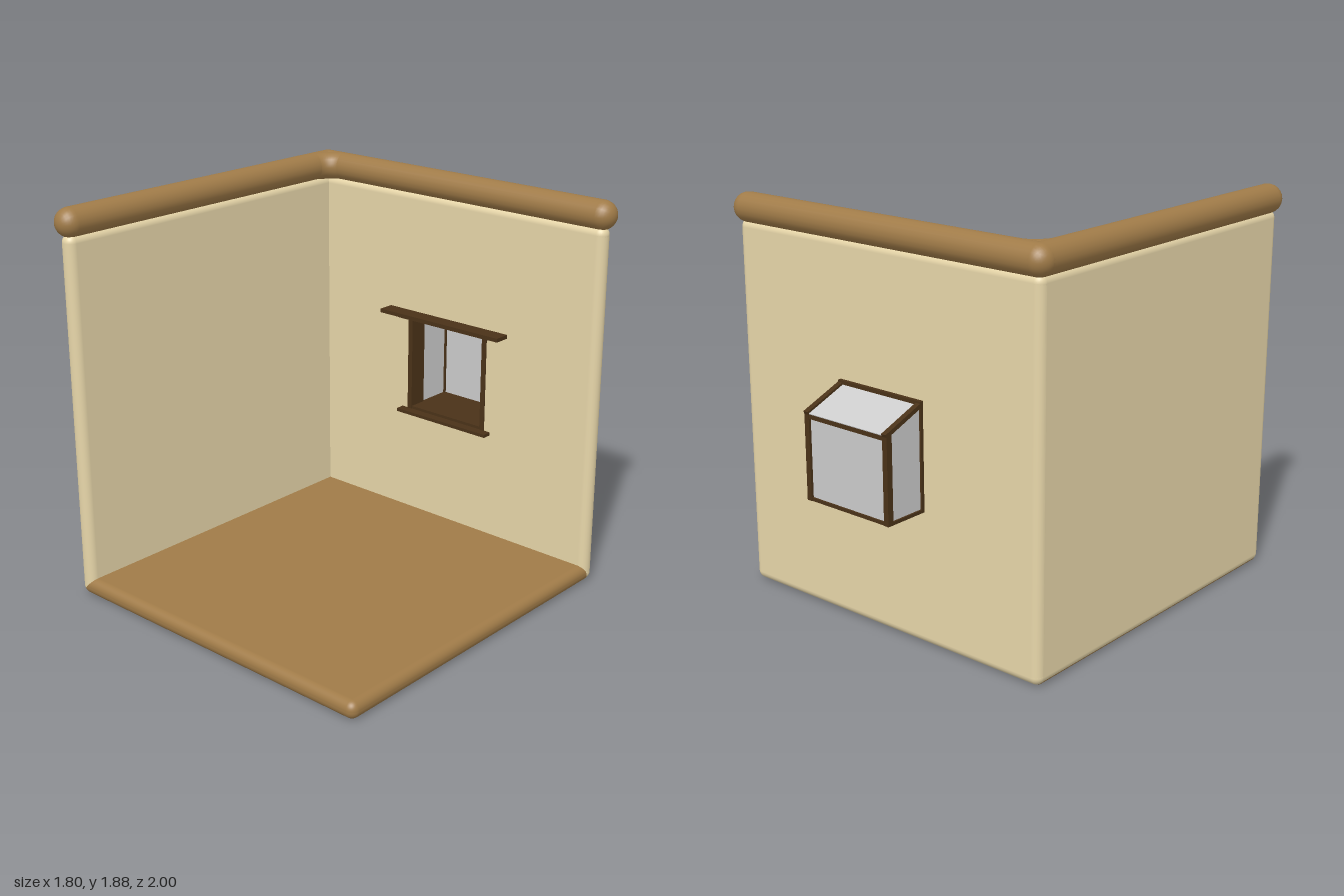
import * as THREE from 'three';
import { RoundedBoxGeometry } from 'three/addons/geometries/RoundedBoxGeometry.js';

const paint = (color) => new THREE.MeshStandardMaterial({ color });
const plaster = paint(0xe7d6a9);
const wood = paint(0xa07b48);
const darkWood = paint(0x4a3218);
const glass = paint(0xcccccc);

function add(parent, name, geometry, material, x = 0, y = 0, z = 0) {
  const mesh = new THREE.Mesh(geometry, material);
  mesh.name = name;
  mesh.position.set(x, y, z);
  parent.add(mesh);
  return mesh;
}

// Box given by its low and high corners
function box(parent, name, material, [x0, y0, z0], [x1, y1, z1]) {
  return add(parent, name, new THREE.BoxGeometry(x1 - x0, y1 - y0, z1 - z0), material,
    (x0 + x1) / 2, (y0 + y1) / 2, (z0 + z1) / 2);
}

// Round-ended rod between two points
function rod(parent, name, material, a, b, radius) {
  const from = new THREE.Vector3(...a), to = new THREE.Vector3(...b);
  const span = to.clone().sub(from);
  const mesh = add(parent, name, new THREE.CapsuleGeometry(radius, span.length(), 8, 20), material);
  mesh.position.copy(from).add(to).multiplyScalar(0.5);
  mesh.quaternion.setFromUnitVectors(new THREE.Vector3(0, 1, 0), span.normalize());
  return mesh;
}

// Rectangular outline as a path
function rect(path, x0, y0, x1, y1) {
  path.moveTo(x0, y0);
  path.lineTo(x1, y0);
  path.lineTo(x1, y1);
  path.lineTo(x0, y1);
  path.closePath();
  return path;
}

function createBackWall() {
  const wall = new THREE.Group();
  wall.name = 'backWall';
  const r = 0.039, z = -0.74, x = 0.831, low = 0.044, high = 1.721;
  const outline = rect(new THREE.Shape(), -x, low, x, high);
  outline.holes.push(rect(new THREE.Path(), -0.245, 0.63, 0.245, 1.13));
  const slab = new THREE.ExtrudeGeometry(outline, { depth: 2 * r, bevelEnabled: false });
  add(wall, 'backWallSlab', slab, plaster, 0, 0, z - r);
  // Rounded rim around the slab
  const corners = [[-x, low, z], [x, low, z], [x, high, z], [-x, high, z]];
  corners.forEach((c, i) => rod(wall, 'backWallEdge', plaster, c, corners[(i + 1) % 4], r));
  return wall;
}

function createBeams() {
  const beams = new THREE.Group();
  beams.name = 'topBeams';
  const r = 0.069, x = -0.835, y = 1.81, z = -0.745, bend = 0.13;
  rod(beams, 'backBeam', wood, [x, y, z], [0.831, y, z], r);
  rod(beams, 'sideBeam', wood, [x, y, z], [x, y, 0.925], r);
  // Fillet in the inner corner
  const fillet = new THREE.TorusGeometry(bend, r - 0.001, 20, 10, Math.PI / 2);
  fillet.rotateZ(Math.PI / 2).rotateX(-Math.PI / 2);
  add(beams, 'beamCornerFillet', fillet, wood, x + bend, y, z + bend);
  return beams;
}

function createWindow() {
  const bay = new THREE.Group();
  bay.name = 'bayWindow';
  const zIn = -0.7, zWall = -0.78, zOut = -0.995;
  const yLow = 0.63, yWall = 1.115, yOut = 1.03;
  const slope = Math.atan2(yWall - yOut, zWall - zOut);
  const run = Math.hypot(yWall - yOut, zWall - zOut);
  const midY = (yWall + yOut) / 2, midZ = (zWall + zOut) / 2;

  // Base, opening lining and outer rails
  box(bay, 'windowBase', darkWood, [-0.244, yLow, zOut], [0.244, 0.645, zIn]);
  box(bay, 'openingHead', darkWood, [-0.244, 1.112, -0.795], [0.244, 1.129, zIn]);
  box(bay, 'outerRail', darkWood, [-0.24, 1.005, zOut], [0.24, 1.03, -0.968]);

  // Panes: front, sloping top, two sides
  box(bay, 'frontPane', glass, [-0.225, 0.64, -0.986], [0.225, 1.01, -0.978]);
  const roof = add(bay, 'roofPane', new THREE.BoxGeometry(0.45, 0.008, run), glass, 0, midY - 0.004, midZ);
  roof.rotation.x = -slope;
  const side = new THREE.Shape();
  side.moveTo(-zWall, 0.64);
  side.lineTo(0.985, 0.64);
  side.lineTo(0.985, yOut - 0.005);
  side.lineTo(-zWall, yWall - 0.01);
  side.closePath();

  for (const s of [-1, 1]) {
    const x0 = s < 0 ? -0.244 : 0.218, x1 = x0 + 0.026;
    box(bay, 'openingJamb', darkWood, [x0, yLow, -0.793], [x1, 1.115, zIn + 0.003]);
    box(bay, 'outerPost', darkWood, [x0, yLow, zOut - 0.003], [x1, yOut, -0.968]);
    const rail = add(bay, 'slopingRail', new THREE.BoxGeometry(0.026, 0.02, run + 0.01), darkWood,
      s * 0.231, midY, midZ);
    rail.rotation.x = -slope;
    const pane = new THREE.ExtrudeGeometry(side, { depth: 0.008, bevelEnabled: false });
    pane.rotateY(Math.PI / 2);
    add(bay, 'sidePane', pane, glass, s * 0.231 - 0.004);
  }

  // Trim on the room side
  box(bay, 'topShelf', darkWood, [-0.365, 1.136, -0.705], [0.365, 1.155, -0.62]);
  box(bay, 'lintel', darkWood, [-0.28, 1.12, -0.705], [0.28, 1.136, -0.655]);
  box(bay, 'sill', darkWood, [-0.28, 0.615, -0.705], [0.28, 0.631, -0.655]);
  return bay;
}

export function createModel() {
  const model = new THREE.Group();
  model.name = 'roomCorner';
  add(model, 'floor', new RoundedBoxGeometry(1.735, 0.085, 1.74, 5, 0.04), wood, 0, 0.0425, 0.098);
  add(model, 'sideWall', new RoundedBoxGeometry(0.08, 1.755, 1.745, 5, 0.039), plaster, -0.83, 0.8825, 0.0955);
  model.add(createBackWall(), createBeams(), createWindow());
  return model;
}
